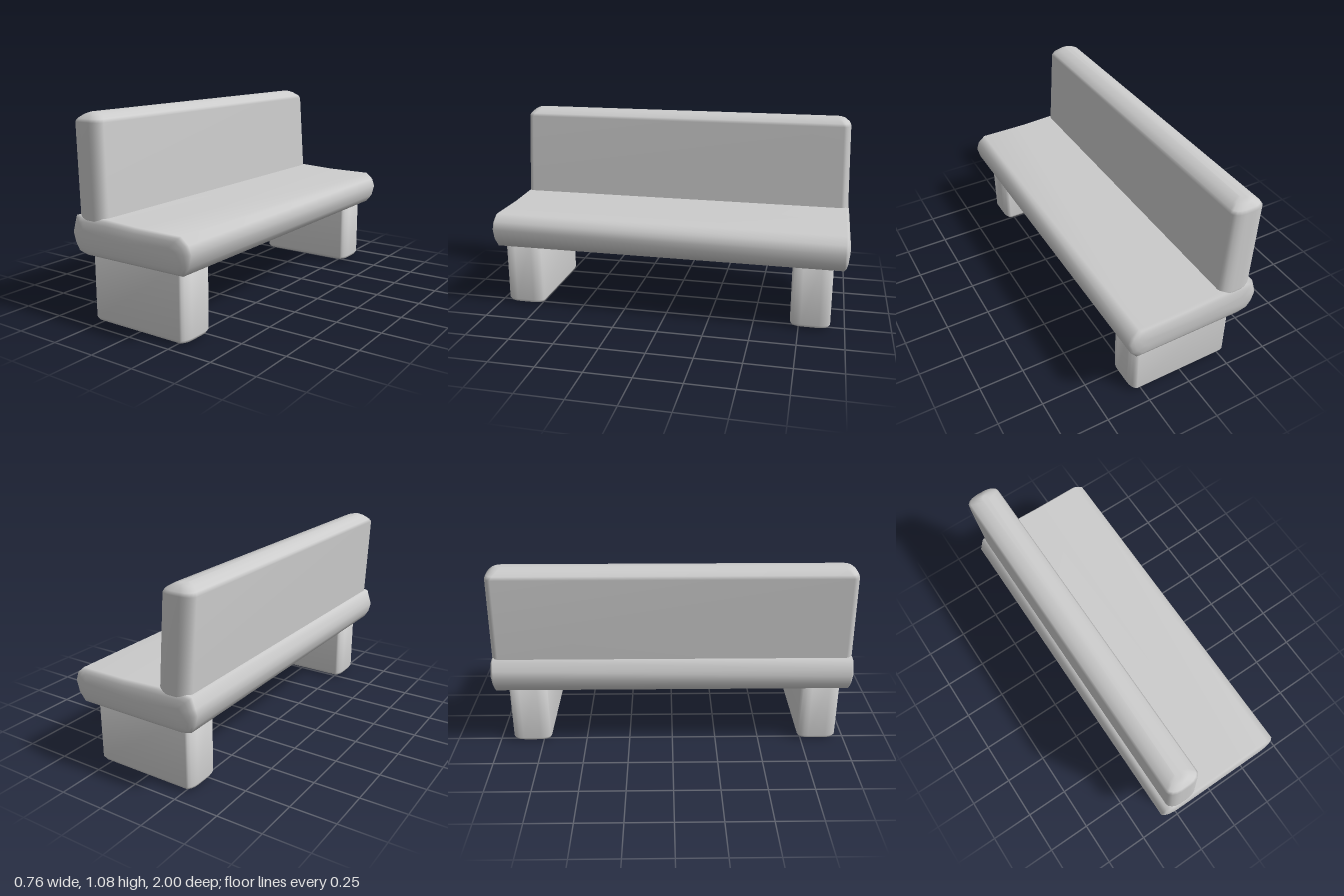
import * as THREE from 'three';

const material = new THREE.MeshStandardMaterial({ color: 0xcccccc });

// Skin a series of closed rings (counter-clockwise seen from the advancing end) and cap both ends
function loft(name, rings) {
  const n = rings[0].length, last = rings.length - 1;
  const points = rings.flat();
  const index = [];
  for (let i = 0; i < last; i++) {
    for (let j = 0; j < n; j++) {
      const a = i * n + j, b = i * n + (j + 1) % n;
      index.push(a, b, b + n, a, b + n, a + n);
    }
  }
  const centre = ring => ring.reduce((s, p) => s.add(p), new THREE.Vector3()).divideScalar(n);
  const c0 = points.push(centre(rings[0])) - 1;
  const c1 = points.push(centre(rings[last])) - 1;
  for (let j = 0; j < n; j++) {
    const k = (j + 1) % n;
    index.push(c0, k, j, c1, last * n + j, last * n + k);
  }
  const geometry = new THREE.BufferGeometry().setFromPoints(points);
  geometry.setIndex(index);
  geometry.computeVertexNormals();
  const mesh = new THREE.Mesh(geometry, material);
  mesh.name = name;
  return mesh;
}

// Horizontal rounded rectangle at height y, with elliptical corners rx by rz
function roundedRing(y, x0, x1, z0, z1, rx, rz, steps = 4) {
  const ring = [];
  for (let q = 0; q < 4; q++) {
    const cx = q === 0 || q === 3 ? x1 - rx : x0 + rx;
    const cz = q < 2 ? z0 + rz : z1 - rz;
    for (let s = 0; s <= steps; s++) {
      const t = (q + s / steps) * Math.PI / 2;
      ring.push(new THREE.Vector3(cx + rx * Math.cos(t), y, cz - rz * Math.sin(t)));
    }
  }
  return ring;
}

// Padded seat: side profile swept along z, drawn in a little at the ends
function createSeat() {
  const profile = [
    [0.381, 0.475], [0.365, 0.52], [0.322, 0.556], [0.05, 0.558], [-0.15, 0.568],
    [-0.32, 0.571], [-0.355, 0.564], [-0.373, 0.51], [-0.384, 0.475], [-0.37, 0.42],
    [-0.345, 0.38], [-0.29, 0.366], [0.33, 0.366], [0.365, 0.41],
  ];
  // each section: z, inset towards the core of the profile
  const sections = [[0.975, 0], [0.986, 0.012], [0.994, 0.032], [1, 0.07]];
  const ring = (z, inset) => profile.map(([x, y]) => new THREE.Vector3(
    x * (1 - inset / 0.385), 0.468 + (y - 0.468) * (1 - inset / 0.105), z));
  return loft('seat', [
    ...sections.slice().reverse().map(([z, d]) => ring(-z, d)),
    ...sections.map(([z, d]) => ring(z, d)),
  ]);
}

// Backrest: leans backwards and rounds over at the top
function createBackrest() {
  const levels = [
    // y, x0, x1, half length, rx, rz
    [0.50, -0.337, -0.152, 0.991, 0.065, 0.04],
    [0.56, -0.34, -0.155, 0.989, 0.065, 0.04],
    [1.035, -0.366, -0.181, 0.975, 0.065, 0.04],
    [1.052, -0.355, -0.19, 0.966, 0.06, 0.04],
    [1.073, -0.325, -0.222, 0.943, 0.045, 0.04],
    [1.083, -0.292, -0.258, 0.92, 0.016, 0.03],
  ];
  return loft('backrest', levels.map(([y, x0, x1, h, rx, rz]) =>
    roundedRing(y, x0, x1, -h, h, rx, rz)));
}

// Slab leg with rounded ends and a softened foot
function createLeg(name, z0, z1) {
  const levels = [[0, 0.055], [0.004, 0.03], [0.013, 0.009], [0.03, 0], [0.4, 0]];
  return loft(name, levels.map(([y, d]) =>
    roundedRing(y, -0.292 + d, 0.308 - d, z0 + d, z1 - d, 0.03, Math.min(0.06, 0.1 - d))));
}

export function createModel() {
  const group = new THREE.Group();
  group.name = 'bench';
  group.add(
    createSeat(),
    createBackrest(),
    createLeg('frontLeg', 0.73, 0.948),
    createLeg('backLeg', -0.921, -0.703),
  );
  return group;
}
